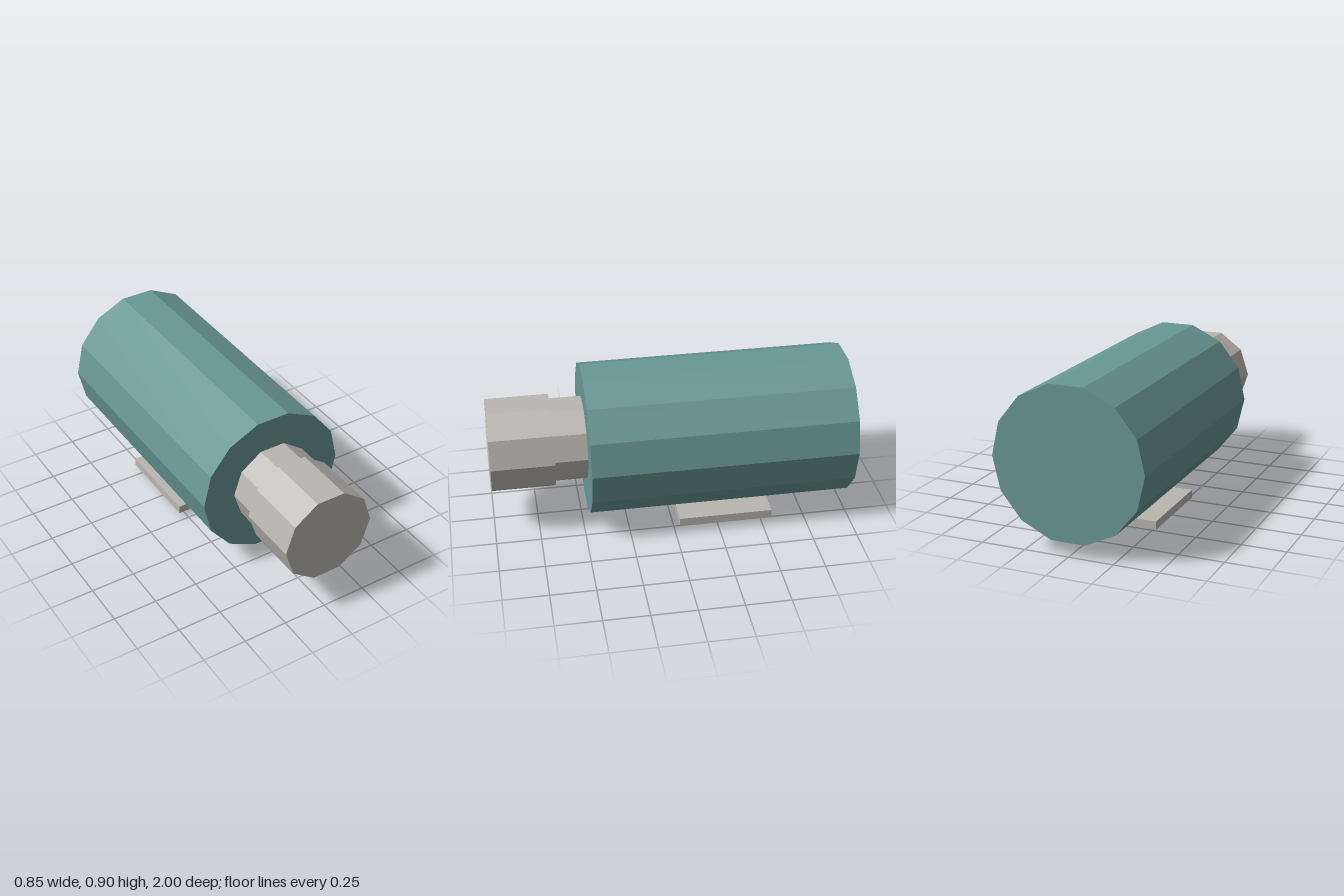
import * as THREE from 'three';

const teal = new THREE.MeshStandardMaterial({ color: 0x689794 });
teal.name = 'teal';
const warmGrey = new THREE.MeshStandardMaterial({ color: 0xbab6b0 });
warmGrey.name = 'warm grey';

const AXIS_Y = 0.49;

export function createModel() {
  const model = new THREE.Group();

  const add = (name, geometry, material, x, y, z) => {
    const flat = geometry.toNonIndexed();
    flat.computeVertexNormals(); // faceted sides
    const mesh = new THREE.Mesh(flat, material);
    mesh.name = name;
    mesh.position.set(x, y, z);
    model.add(mesh);
  };

  // Faceted cylinder lying along z, with corners on the x axis
  const barrel = (name, radius, sides, back, front, material) => {
    const geometry = new THREE.CylinderGeometry(radius, radius, front - back, sides, 1, false, Math.PI / 2);
    geometry.rotateX(Math.PI / 2);
    add(name, geometry, material, 0, AXIS_Y, (front + back) / 2);
  };

  // Box given by its width, height range and depth range
  const slab = (name, width, bottom, top, back, front, material) =>
    add(name, new THREE.BoxGeometry(width, top - bottom, front - back), material,
      0, (bottom + top) / 2, (back + front) / 2);

  // Main body, neck and end cap
  barrel('body', 0.423, 14, -1, 0.47, teal);
  barrel('neck', 0.237, 10, 0.47, 0.65, warmGrey);
  barrel('cap', 0.263, 10, 0.65, 1, warmGrey);

  // Mounting plate and small foot under the body
  slab('mountingPlate', 0.588, 0.03, 0.077, -0.555, -0.028, warmGrey);
  slab('foot', 0.265, 0, 0.03, -0.305, -0.16, teal);

  return model;
}
